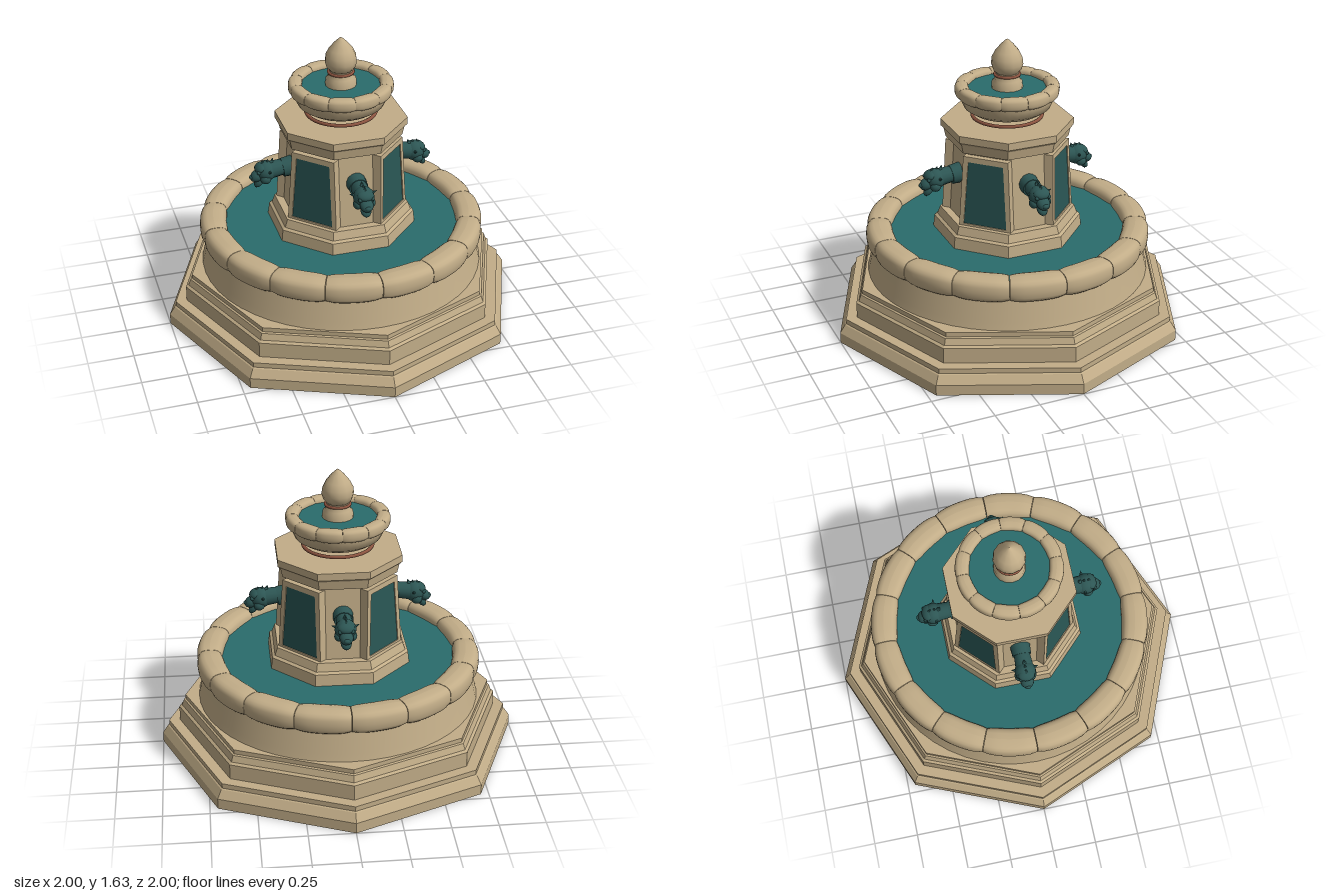
import * as THREE from 'three';

const mat = (color, flatShading = false) => new THREE.MeshStandardMaterial({ color, flatShading });
const STONE = 0xc2ad88, TEAL = 0x2a6c6c, BRONZE = 0x2d5654, PANEL = 0x2a5755, COPPER = 0x8c5440;

export function createModel() {
  const model = new THREE.Group();
  const stone = mat(STONE), facet = mat(STONE, true), water = mat(TEAL);
  const bronze = mat(BRONZE), panelMat = mat(PANEL, true), copper = mat(COPPER);

  function add(name, geometry, material, parent = model) {
    const mesh = new THREE.Mesh(geometry, material);
    mesh.name = name;
    parent.add(mesh);
    return mesh;
  }
  // Profile of [radius, height] pairs, bottom to top, turned around y
  const lathe = (pts, sides, start = 0, scale = 1) => new THREE.LatheGeometry(
    pts.map(([r, y]) => new THREE.Vector2(r * scale, y)), sides, start);
  // Octagon with flat faces on the axes, radii given as distance to the face
  const octagon = (pts) => lathe(pts, 8, Math.PI / 8, 1 / Math.cos(Math.PI / 8));

  // Stepped octagonal base, corners on the axes
  add('base', lathe([[0, 0], [1, 0], [1, 0.06], [0.97, 0.105], [0.962, 0.11], [0.962, 0.138], [0.9, 0.138],
    [0.9, 0.225], [0.885, 0.235], [0.872, 0.27], [0.862, 0.275], [0.862, 0.3], [0, 0.3]], 8), facet);

  // Round basin wall and its water
  add('basinWall', lathe([[0.785, 0.3], [0.775, 0.34], [0.745, 0.48]], 48), stone);
  add('basinWater', new THREE.CircleGeometry(0.68, 48).rotateX(-Math.PI / 2), water).position.y = 0.53;

  // Ring of pillow-shaped coping stones
  function rim(name, count, rIn, rOut, y0, y1) {
    const group = new THREE.Group();
    group.name = name;
    model.add(group);
    const geo = new THREE.CylinderGeometry(1, 1, 1, 20, 8);
    const p = geo.attributes.position;
    const soft = (v) => Math.sign(v) * Math.abs(v) ** 0.7;
    for (let i = 0; i < p.count; i++) {
      const t = p.getY(i);
      const shrink = 1 - 0.13 * Math.abs(2 * t) ** 4;
      const r = (rIn + rOut) / 2 + soft(p.getX(i)) * shrink * (rOut - rIn) / 2;
      const y = (y0 + y1) / 2 + soft(p.getZ(i)) * shrink * (y1 - y0) / 2;
      const a = t * 0.99 * Math.PI * 2 / count;
      p.setXYZ(i, r * Math.cos(a), y, -r * Math.sin(a));
    }
    // The bend mirrors the cylinder or not depending on axis order, so check and flip if needed
    const a = new THREE.Vector3(), b = new THREE.Vector3(), c = new THREE.Vector3();
    const idx = geo.index.array;
    let volume = 0;
    for (let i = 0; i < idx.length; i += 3) {
      a.fromBufferAttribute(p, idx[i]);
      b.fromBufferAttribute(p, idx[i + 1]);
      c.fromBufferAttribute(p, idx[i + 2]);
      volume += a.dot(b.cross(c));
    }
    if (volume < 0) idx.reverse();
    geo.computeVertexNormals();
    for (let i = 0; i < count; i++) {
      add('copingStone', geo, stone, group).rotation.y = (i + 0.5) * Math.PI * 2 / count;
    }
  }
  rim('basinRim', 16, 0.64, 0.79, 0.45, 0.585);

  // Octagonal column: plinth, shaft and cornice
  add('columnPlinth', octagon([[0.385, 0.5], [0.375, 0.595], [0.36, 0.605], [0.345, 0.65], [0, 0.65]]), facet);
  add('columnShaft', octagon([[0.305, 0.64], [0.275, 1.06]]), facet);
  add('cornice', octagon([[0, 1.05], [0.275, 1.05], [0.275, 1.07], [0.31, 1.07], [0.32, 1.12],
    [0.335, 1.135], [0.335, 1.175], [0, 1.175]]), facet);

  // Framed panels on the diagonal faces
  const trapezoid = (S, w0, w1, y0, y1) => {
    const s = new S();
    s.moveTo(-w0, y0);
    s.lineTo(w0, y0);
    s.lineTo(w1, y1);
    s.lineTo(-w1, y1);
    s.closePath();
    return s;
  };
  const frameShape = trapezoid(THREE.Shape, 0.15, 0.128, 0, 0.4);
  frameShape.holes.push(trapezoid(THREE.Path, 0.124, 0.1, 0.012, 0.37));
  const frameGeo = new THREE.ExtrudeGeometry(frameShape, { depth: 0.085, bevelEnabled: false });
  const panelGeo = new THREE.ExtrudeGeometry(trapezoid(THREE.Shape, 0.125, 0.101, 0.011, 0.371),
    { depth: 0.08, bevelEnabled: false });
  for (let i = 0; i < 4; i++) {
    const side = new THREE.Group();
    side.name = 'panelSide';
    side.rotation.y = Math.PI / 4 + i * Math.PI / 2;
    model.add(side);
    for (const [name, geo, m] of [['panelFrame', frameGeo, facet], ['panel', panelGeo, panelMat]]) {
      const part = add(name, geo, m, side);
      part.position.set(0, 0.65, 0.243);
      part.rotation.x = -0.04;
    }
  }

  // Beast-head spouts, facing +z before being turned
  function spout() {
    const g = new THREE.Group();
    g.name = 'spout';
    const ball = new THREE.SphereGeometry(1, 14, 10);
    const put = (name, geo, x, y, z, sx = 1, sy = 1, sz = 1, rx = 0, rz = 0) => {
      const m = add(name, geo, bronze, g);
      m.position.set(x, y, z);
      m.scale.set(sx, sy, sz);
      m.rotation.set(rx, 0, rz);
    };
    const tube = (r1, r0, h) => new THREE.CylinderGeometry(r1, r0, h, 14).rotateX(Math.PI / 2);
    put('spoutCollar', tube(0.052, 0.056, 0.06), 0, 0.9, 0.305, 1, 1, 1, 0.12);
    put('spoutNeck', tube(0.05, 0.042, 0.11), 0, 0.898, 0.36, 1, 1, 1, 0.12);
    put('spoutHead', ball, 0, 0.89, 0.425, 0.058, 0.058, 0.058);
    put('spoutBrow', ball, 0, 0.915, 0.455, 0.046, 0.024, 0.035, 0.5);
    put('spoutMuzzle', ball, 0, 0.868, 0.475, 0.037, 0.03, 0.042, 0.6);
    put('spoutJaw', ball, 0, 0.832, 0.463, 0.03, 0.021, 0.04, 0.9);
    put('spoutNose', ball, 0, 0.862, 0.505, 0.018, 0.014, 0.014);
    put('spoutBeard', new THREE.ConeGeometry(0.022, 0.05, 8), 0, 0.815, 0.472, 1, 1, 1, Math.PI - 0.3);
    for (const s of [-1, 1]) {
      put('spoutEar', new THREE.ConeGeometry(0.016, 0.045, 8), s * 0.055, 0.905, 0.415, 1, 1, 1, -0.3, -s * 1.2);
      put('spoutEye', ball, s * 0.034, 0.9, 0.472, 0.011, 0.011, 0.011);
      put('spoutCheek', ball, s * 0.036, 0.858, 0.435, 0.025, 0.028, 0.03);
    }
    for (let i = 0; i < 3; i++) {
      put('spoutCrest', new THREE.ConeGeometry(0.014, 0.032, 6), 0, 0.95 - i * 0.003, 0.39 + i * 0.026, 1, 1, 1, -0.3);
    }
    return g;
  }
  for (let i = 0; i < 4; i++) {
    const s = spout();
    s.rotation.y = i * Math.PI / 2;
    model.add(s);
  }

  // Upper bowl with its copper ring, rim and water
  add('bowlRing', new THREE.TorusGeometry(0.19, 0.01, 8, 40).rotateX(Math.PI / 2), copper).position.y = 1.2;
  add('bowl', lathe([[0, 1.218], [0.14, 1.218], [0.195, 1.228], [0.235, 1.255], [0.255, 1.3], [0.258, 1.34]], 36), stone);
  rim('bowlRim', 12, 0.208, 0.284, 1.312, 1.385);
  add('bowlWater', new THREE.CircleGeometry(0.235, 36).rotateX(-Math.PI / 2), water).position.y = 1.355;

  // Finial
  add('finialFoot', lathe([[0.085, 1.35], [0.083, 1.39], [0.07, 1.4], [0.068, 1.425], [0.06, 1.445]], 16), stone);
  add('finialRing', new THREE.TorusGeometry(0.067, 0.008, 8, 28).rotateX(Math.PI / 2), copper).position.y = 1.43;
  add('finialBud', lathe([[0, 1.435], [0.06, 1.438], [0.078, 1.46], [0.087, 1.49], [0.083, 1.525], [0.066, 1.56],
    [0.035, 1.598], [0.012, 1.62], [0, 1.628]], 12), stone);

  return model;
}
